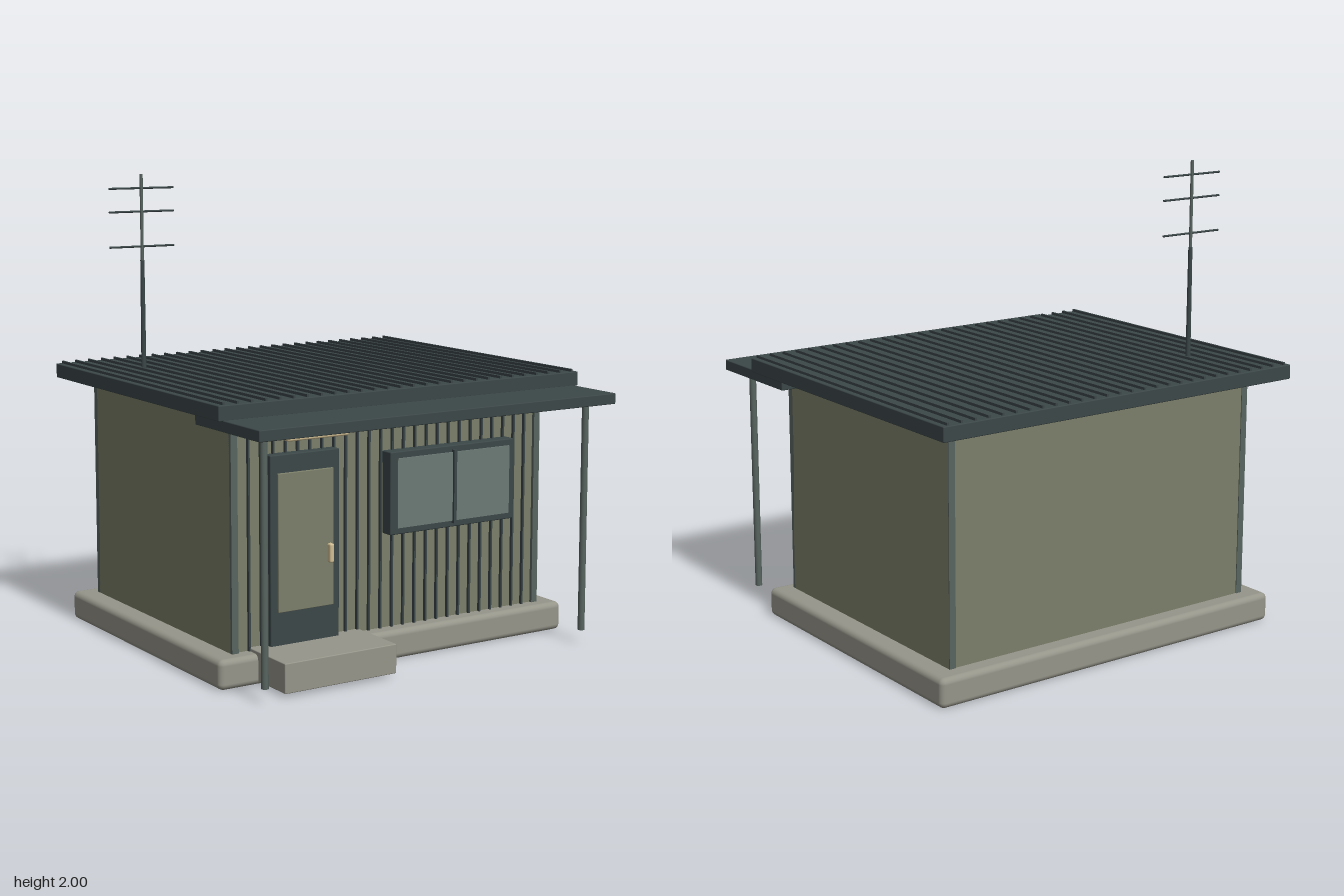
import * as THREE from 'three';
import { RoundedBoxGeometry } from 'three/addons/geometries/RoundedBoxGeometry.js';

const mat = (color) => new THREE.MeshStandardMaterial({ color });

export function createModel() {
  const model = new THREE.Group();
  const wall = mat(0x7b7f69), dark = mat(0x3c4748), steel = mat(0x58645f);
  const concrete = mat(0x96958a), glass = mat(0x6c7a75), brass = mat(0xd0bd92);

  const add = (parent, name, geometry, material, x, y, z) => {
    const mesh = new THREE.Mesh(geometry, material);
    mesh.name = name;
    mesh.position.set(x, y, z);
    parent.add(mesh);
    return mesh;
  };
  // Box given by its lower and upper limits; r rounds the edges
  const box = (parent, name, material, [x0, x1], [y0, y1], [z0, z1], r = 0) => {
    const size = [x1 - x0, y1 - y0, z1 - z0];
    const geometry = r ? new RoundedBoxGeometry(...size, 3, r) : new THREE.BoxGeometry(...size);
    return add(parent, name, geometry, material, (x0 + x1) / 2, (y0 + y1) / 2, (z0 + z1) / 2);
  };
  // Upright round bar
  const pole = (parent, name, material, x, z, y0, y1, rTop, rBottom = rTop) =>
    add(parent, name, new THREE.CylinderGeometry(rTop, rBottom, y1 - y0, 12), material, x, (y0 + y1) / 2, z);
  const group = (name) => {
    const g = new THREE.Group();
    g.name = name;
    model.add(g);
    return g;
  };

  // Base and entrance step
  box(model, 'foundation', concrete, [-0.865, 0.865], [0, 0.125], [-0.805, 0.54], 0.025);
  box(model, 'step', concrete, [-0.69, -0.16], [0.015, 0.138], [0.45, 0.745], 0.004);

  // Walls with corner trims and front battens
  const walls = group('walls');
  box(walls, 'wallBlock', wall, [-0.775, 0.775], [0.11, 1.097], [-0.725, 0.466]);
  for (const s of [-1, 1]) {
    box(walls, 'frontCornerTrim', steel, [s * 0.76 - 0.015, s * 0.76 + 0.015], [0.12, 1.09], [0.45, 0.48]);
    box(walls, 'backCornerTrim', steel, [s * 0.76 - 0.015, s * 0.76 + 0.015], [0.12, 1.09], [-0.729, -0.7]);
  }
  for (let i = 1; i < 26; i++) {
    const x = -0.75 + i * 0.0577;
    box(walls, 'batten', dark, [x - 0.004, x + 0.004], [0.12, 1.06], [0.46, 0.48]);
  }

  // Roof sheet with raised seams
  const roof = group('roof');
  box(roof, 'roofSlab', dark, [-0.893, 0.89], [1.093, 1.155], [-0.865, 0.595], 0.004);
  for (let i = 0; i < 28; i++) {
    const x = -0.865 + i * 0.064;
    box(roof, 'roofSeam', dark, [x - 0.005, x + 0.005], [1.15, 1.166], [-0.855, 0.585]);
  }

  // Front canopy on two posts
  const canopy = group('canopy');
  box(canopy, 'canopySheet', dark, [-0.873, 0.87], [1.05, 1.096], [0.37, 0.866], 0.004);
  for (const s of [-1, 1]) pole(canopy, 'canopyPost', steel, s * 0.793, 0.763, 0.06, 1.06, 0.015);

  // Door
  const door = group('door');
  box(door, 'doorFrame', dark, [-0.612, -0.285], [0.13, 0.92], [0.455, 0.51], 0.005);
  box(door, 'doorPanel', wall, [-0.58, -0.317], [0.275, 0.845], [0.49, 0.518], 0.003);
  box(door, 'doorHandle', brass, [-0.347, -0.326], [0.455, 0.535], [0.51, 0.54], 0.008);

  // Sliding window
  const win = group('window');
  box(win, 'windowFrame', dark, [-0.042, 0.598], [0.53, 0.88], [0.455, 0.525], 0.005);
  box(win, 'windowPane', glass, [-0.01, 0.57], [0.558, 0.852], [0.5, 0.533]);
  box(win, 'windowMullion', dark, [0.271, 0.285], [0.548, 0.862], [0.52, 0.543]);

  // Lamp above the door
  box(model, 'doorLamp', brass, [-0.573, -0.282], [0.982, 1.002], [0.535, 0.58], 0.008);

  // Antenna mast with crossbars
  const antenna = group('antenna');
  pole(antenna, 'lowerMast', dark, -0.655, -0.48, 1.14, 1.63, 0.009, 0.011);
  pole(antenna, 'upperMast', steel, -0.655, -0.48, 1.6, 2, 0.007);
  for (const y of [1.69, 1.84, 1.94]) {
    const bar = new THREE.CylinderGeometry(0.0045, 0.0045, 0.31, 8).rotateZ(Math.PI / 2);
    add(antenna, 'antennaBar', bar, dark, -0.655, y, -0.48);
  }
  return model;
}
